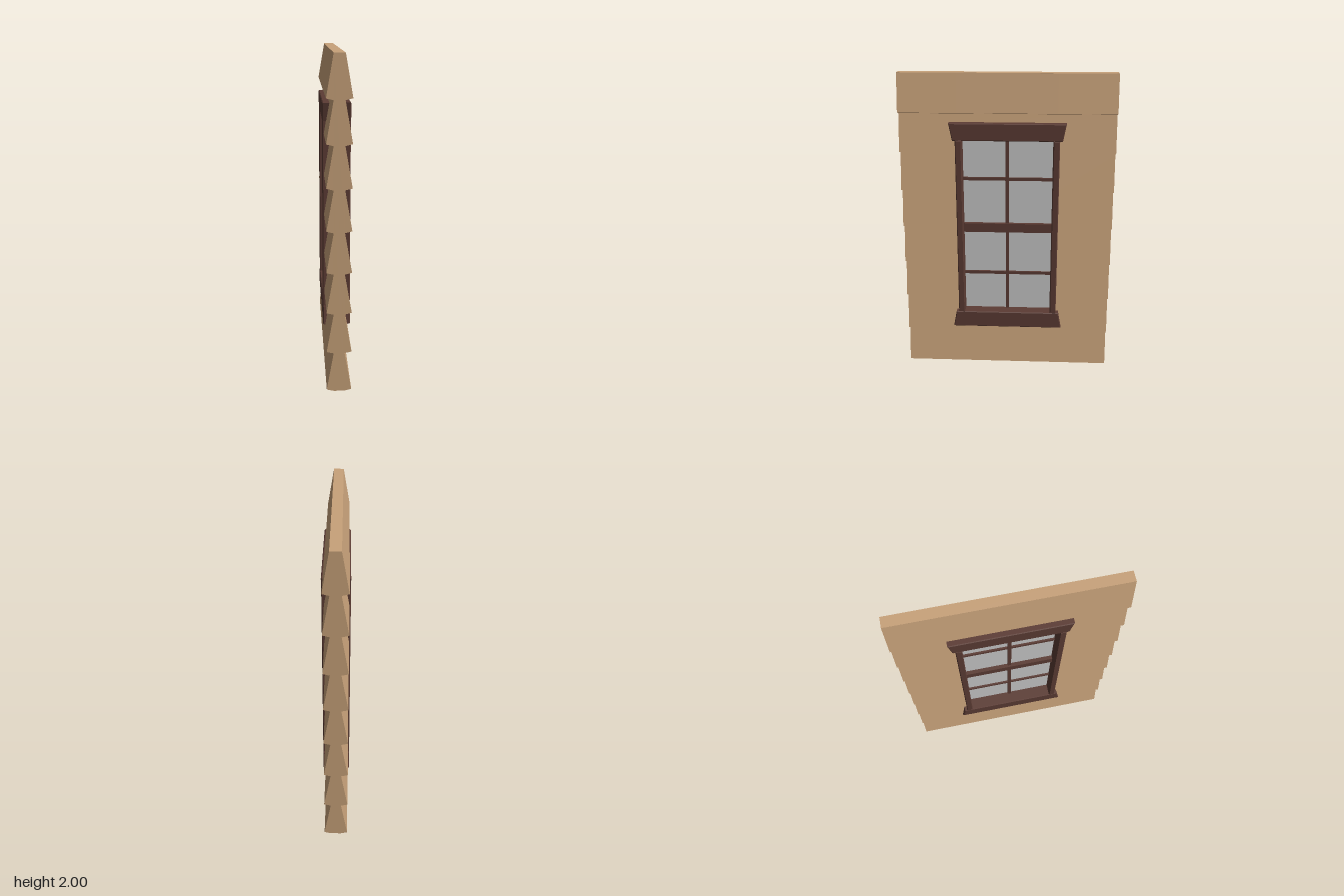
import * as THREE from 'three';

export function createModel() {
  const model = new THREE.Group();
  const siding = new THREE.MeshStandardMaterial({ color: 0xc8a27a, flatShading: true });
  const wood = new THREE.MeshStandardMaterial({ color: 0x5c3c34, flatShading: true });
  const pane = new THREE.MeshStandardMaterial({ color: 0xcccccc });

  const add = (parent, name, geometry, material, x = 0, y = 0, z = 0) => {
    const mesh = new THREE.Mesh(geometry, material);
    mesh.name = name;
    mesh.position.set(x, y, z);
    parent.add(mesh);
    return mesh;
  };
  const shapeOf = pts => new THREE.Shape(pts.map(p => new THREE.Vector2(...p)));

  // Clapboard wall: stacked boards that flare towards their lower edge
  const wall = new THREE.Group();
  wall.name = 'clapboardWall';
  model.add(wall);
  const boards = 8, pitch = 0.25, thin = 0.0325, thick = 0.074;
  const halfWidth = y => {
    const t = (y % pitch - 0.01) / (pitch - 0.01);
    return thick + (thin - thick) * t;
  };
  function wallSection(name, y0, y1, z0, z1) {
    const edge = y0 > 0 ? [[halfWidth(y0), y0]] : [];
    for (let i = 0; i < boards; i++) {
      const b = i * pitch;
      for (const p of [[thin, b], [thick, b + 0.01], [thin, b + pitch - 0.0005]]) {
        if (p[1] >= y0 && p[1] <= y1) edge.push(p);
      }
    }
    edge.push(y1 < 2 ? [halfWidth(y1), y1] : [thin, 2]);
    const pts = [...edge, ...edge.slice().reverse().map(([x, y]) => [-x, y])];
    const geo = new THREE.ExtrudeGeometry(shapeOf(pts), { depth: z1 - z0, bevelEnabled: false });
    add(wall, name, geo, siding, -0.004, 0, z0);
  }
  wallSection('wallFrontSide', 0, 2, 0.315, 0.682);
  wallSection('wallBackSide', 0, 2, -0.682, -0.315);
  wallSection('wallBelowWindow', 0, 0.345, -0.315, 0.315);
  wallSection('wallAboveWindow', 1.645, 2, -0.315, 0.315);

  // Window set into the opening, facing both ways along x
  const windowGroup = new THREE.Group();
  windowGroup.name = 'window';
  windowGroup.position.set(-0.001, 0, -0.003);
  model.add(windowGroup);

  // Bevelled casing piece: outline in (z, y), extruded through the wall
  const bevel = 0.005, caseDepth = 0.172;
  function casing(name, pts) {
    const geo = new THREE.ExtrudeGeometry(shapeOf(pts), {
      depth: caseDepth - 2 * bevel, bevelThickness: bevel, bevelSize: bevel,
      bevelOffset: -bevel, bevelSegments: 1,
    });
    geo.translate(0, 0, -caseDepth / 2 + bevel);
    geo.rotateY(-Math.PI / 2);
    add(windowGroup, name, geo, wood);
  }
  casing('headCasing', [[-0.346, 1.588], [0.346, 1.588], [0.367, 1.698], [-0.367, 1.698]]);
  casing('sill', [[-0.367, 0.288], [0.367, 0.288], [0.346, 0.4], [-0.346, 0.4]]);
  for (const s of [-1, 1]) {
    const a = s < 0 ? -0.329 : 0.288, b = a + 0.041;
    casing(s < 0 ? 'backJamb' : 'frontJamb', [[a, 0.397], [b, 0.397], [b, 1.591], [a, 1.591]]);
  }

  // Glass, meeting rail and glazing bars
  add(windowGroup, 'glass', new THREE.BoxGeometry(0.01, 1.2, 0.59), pane, 0, 0.994, 0);
  add(windowGroup, 'meetingRail', new THREE.BoxGeometry(0.06, 0.06, 0.59), wood, 0, 0.992, 0);
  add(windowGroup, 'verticalBar', new THREE.BoxGeometry(0.036, 1.2, 0.022), wood, 0, 0.994, 0.002);
  for (const y of [0.665, 1.324]) {
    add(windowGroup, 'crossBar', new THREE.BoxGeometry(0.034, 0.02, 0.59), wood, 0, y, 0);
  }
  return model;
}
